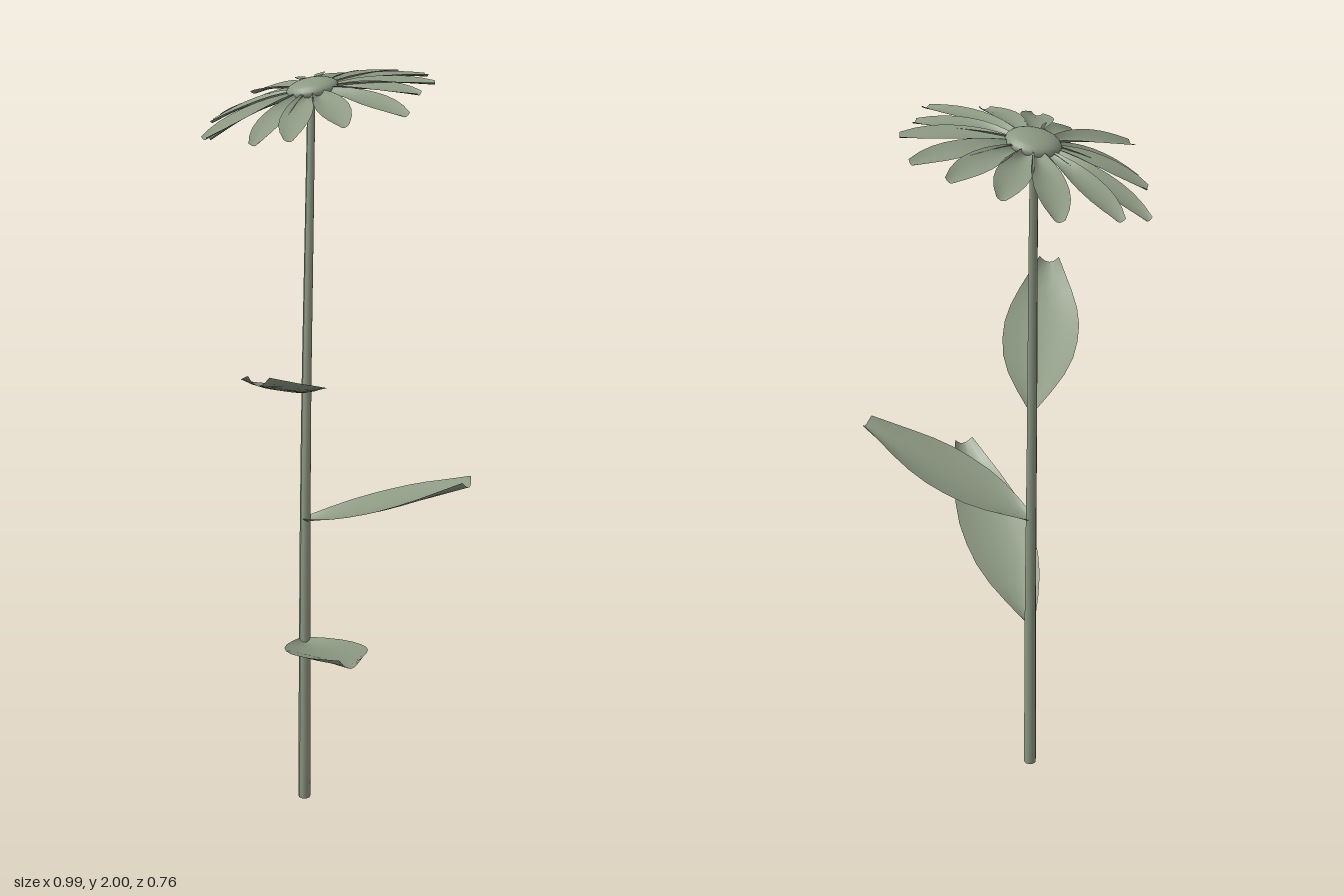
import * as THREE from 'three';

const green = new THREE.MeshStandardMaterial({ color: 0x8d9983, side: THREE.DoubleSide });
green.name = 'sageGreen';
const V = (x, y, z) => new THREE.Vector3(x, y, z);

// Cupped, blunt-tipped blade from a to b; widths are half-widths along its length
function blade(name, a, b, widths, cups, arch, upHint) {
  const rows = widths.length - 1;
  const geo = new THREE.PlaneGeometry(1, 1, 6, rows);
  const dir = b.clone().sub(a).normalize();
  const side = dir.clone().cross(upHint).normalize();
  const up = side.clone().cross(dir);
  const pos = geo.attributes.position;
  for (let i = 0; i < pos.count; i++) {
    const s = pos.getX(i) * 2;
    const t = pos.getY(i) + 0.5;
    const k = Math.round(t * rows);
    const p = a.clone().lerp(b, t)
      .addScaledVector(side, s * widths[k])
      .addScaledVector(up, cups[k] * (s * s - 0.4) + arch * Math.sin(Math.PI * t));
    pos.setXYZ(i, p.x, p.y, p.z);
  }
  geo.computeVertexNormals();
  const mesh = new THREE.Mesh(geo, green);
  mesh.name = name;
  return mesh;
}

// Round stem that follows a curve and narrows upwards
function makeStem() {
  const curve = new THREE.CatmullRomCurve3([
    V(-0.05, 0, 0.045), V(-0.055, 0.5, 0.037), V(-0.07, 0.85, 0.022),
    V(-0.095, 1.2, -0.003), V(-0.13, 1.6, -0.04), V(-0.168, 1.955, -0.078),
  ]);
  const rings = 24;
  const geo = new THREE.CylinderGeometry(1, 1, 1, 10, rings);
  const pos = geo.attributes.position;
  for (let i = 0; i < pos.count; i++) {
    const t = pos.getY(i) + 0.5;
    const c = curve.getPoint(t);
    const r = 0.017 - 0.007 * t;
    pos.setXYZ(i, c.x + pos.getX(i) * r, c.y, c.z + pos.getZ(i) * r);
  }
  geo.computeVertexNormals();
  const stem = new THREE.Mesh(geo, green);
  stem.name = 'stem';
  return stem;
}

export function createModel() {
  const model = new THREE.Group();
  model.name = 'daisy';
  model.add(makeStem());

  // Three broad leaves: base and tip
  const leafWidths = [0.012, 0.045, 0.073, 0.091, 0.098, 0.098, 0.088, 0.07, 0.048, 0.026];
  const leafCups = [0.012, 0.016, 0.018, 0.018, 0.018, 0.018, 0.018, 0.018, 0.02, 0.022];
  [
    [V(-0.055, 0.49, 0.037), V(0.483, 0.735, 0.305)],
    [V(-0.07, 0.84, 0.022), V(0.358, 1.04, -0.172)],
    [V(-0.095, 1.195, -0.003), V(0.202, 1.393, 0.365)],
  ].forEach(([a, b], i) =>
    model.add(blade('leaf' + (i + 1), a, b, leafWidths, leafCups, -0.004, V(0, 1, 0))));

  // Flower head, tilted
  const head = new THREE.Group();
  head.name = 'flowerHead';
  const centre = V(-0.17, 1.965, -0.083);
  const normal = V(-0.14, 1, 0.12).normalize();

  const dome = new THREE.Mesh(new THREE.SphereGeometry(0.067, 24, 14), green);
  dome.name = 'flowerCentre';
  dome.scale.y = 0.42;
  dome.position.copy(centre);
  dome.quaternion.setFromUnitVectors(V(0, 1, 0), normal);
  head.add(dome);

  // Petal tips around the head
  const tips = [
    [-0.08, 1.975, -0.382], [-0.197, 1.965, -0.375], [-0.315, 1.945, -0.33],
    [-0.445, 1.92, -0.285], [-0.495, 1.89, -0.14], [-0.478, 1.85, -0.025],
    [-0.38, 1.865, 0.08], [-0.3, 1.845, 0.143], [-0.195, 1.88, 0.232],
    [-0.055, 1.885, 0.183], [0.045, 1.91, 0.15], [0.11, 1.94, 0.035],
    [0.18, 1.96, -0.096], [0.09, 1.98, -0.215], [0.04, 1.985, -0.307],
  ];
  const petalWidths = [0.01, 0.017, 0.026, 0.034, 0.039, 0.041, 0.038, 0.029, 0.014];
  const petalCups = [0.012, 0.014, 0.014, 0.012, 0.01, 0.009, 0.009, 0.009, 0.008];
  tips.forEach((p, i) => {
    const tip = V(...p);
    const out = tip.clone().sub(centre).projectOnPlane(normal).normalize();
    const base = centre.clone().addScaledVector(out, 0.04).addScaledVector(normal, -0.004);
    head.add(blade('petal' + (i + 1), base, tip, petalWidths, petalCups, 0.012, normal));
  });
  model.add(head);
  return model;
}
